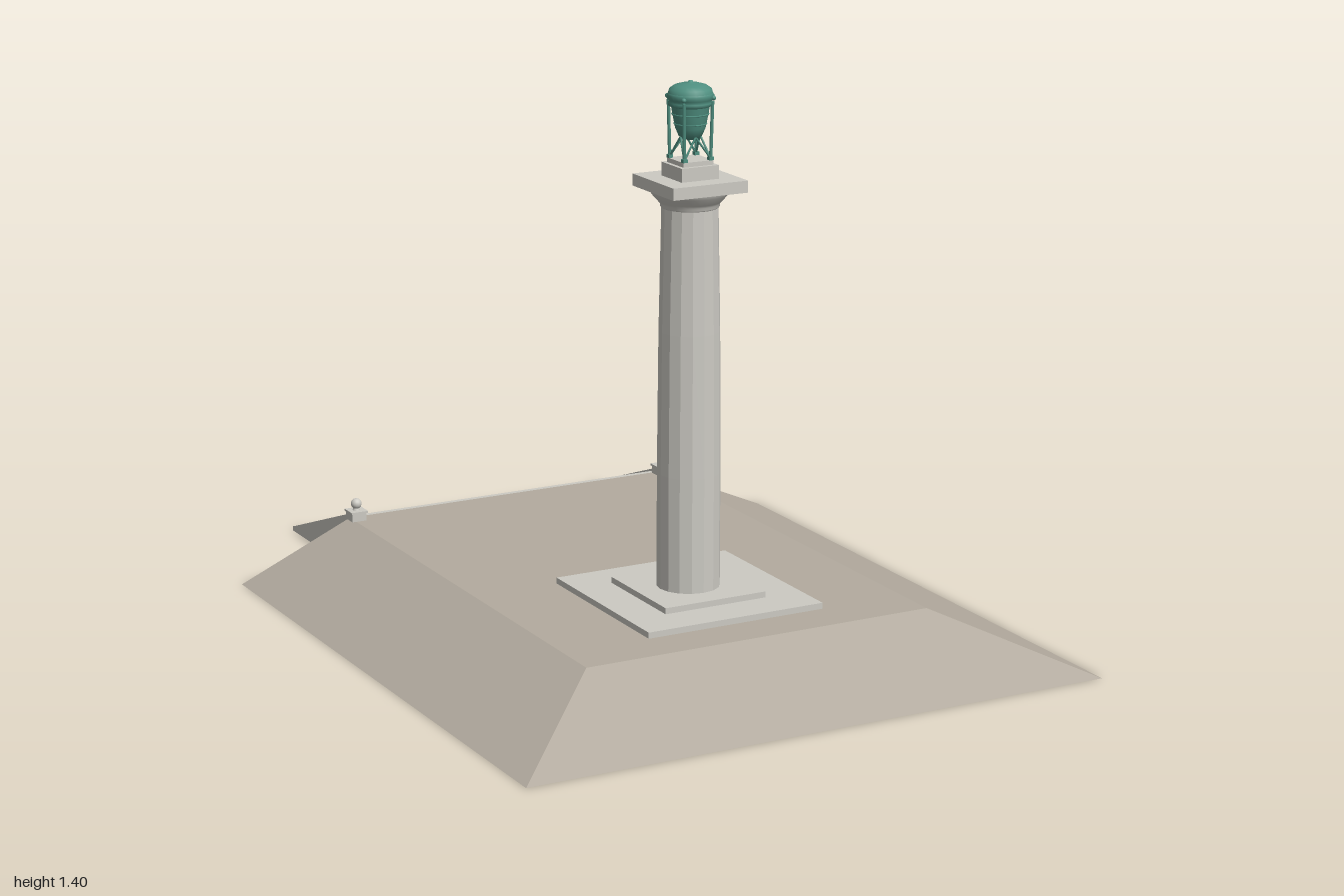
import * as THREE from 'three';

const material = (color, flatShading = false) => {
  const m = new THREE.MeshStandardMaterial({ color, flatShading, side: THREE.DoubleSide });
  return m;
};
const earth = material(0xb3ab9f, true);
const stone = material(0xcccac3);
const facetedStone = material(0xcccac3, true);
const bronze = material(0x4f8f80);

const COLUMN_Z = 0.35, TOP = 0.135, BACK = -0.63;

function add(parent, name, geometry, mat, x = 0, y = 0, z = 0) {
  const mesh = new THREE.Mesh(geometry, mat);
  mesh.name = name;
  mesh.position.set(x, y, z);
  parent.add(mesh);
  return mesh;
}

// Square slab given by its half width and its bottom and top heights
function slab(parent, name, half, y0, y1, mat = stone) {
  return add(parent, name, new THREE.BoxGeometry(half * 2, y1 - y0, half * 2), mat, 0, (y0 + y1) / 2, 0);
}

// Straight round bar between two points
function bar(parent, name, a, b, radius) {
  const mesh = add(parent, name, new THREE.CylinderGeometry(radius, radius, a.distanceTo(b), 6), bronze);
  mesh.position.copy(a).lerp(b, 0.5);
  mesh.quaternion.setFromUnitVectors(new THREE.Vector3(0, 1, 0), b.clone().sub(a).normalize());
}

function lathe(parent, name, points, sides, mat, y = 0) {
  return add(parent, name, new THREE.LatheGeometry(points.map(p => new THREE.Vector2(...p)), sides), mat, 0, y, 0);
}

// Open shell: flat top, sloping left, right and front banks
function moundGeometry() {
  const g = new THREE.BufferGeometry();
  g.setAttribute('position', new THREE.Float32BufferAttribute([
    -0.46, TOP, BACK, 0.46, TOP, BACK, 0.46, TOP, 0.7, -0.46, TOP, 0.7,
    -0.765, 0, BACK, 0.765, 0, BACK, 0.765, 0, 1, -0.765, 0, 1
  ], 3));
  g.setIndex([0, 2, 1, 0, 3, 2, 3, 7, 6, 3, 6, 2, 2, 6, 5, 2, 5, 1, 0, 4, 7, 0, 7, 3]);
  const flat = g.toNonIndexed();
  flat.computeVertexNormals();
  return flat;
}

// Folded sheet of treads and risers
function stairGeometry(steps, half, z0, z1) {
  const profile = [[TOP, z0]];
  for (let i = 0; i < steps; i++) {
    const z = z0 + (z1 - z0) * (i + 1) / steps;
    profile.push([TOP * (1 - i / steps), z], [TOP * (1 - (i + 1) / steps), z]);
  }
  const pos = [];
  for (let i = 0; i < profile.length - 1; i++) {
    const [ya, za] = profile[i], [yb, zb] = profile[i + 1];
    pos.push(-half, ya, za, half, ya, za, half, yb, zb, -half, ya, za, half, yb, zb, -half, yb, zb);
  }
  const g = new THREE.BufferGeometry();
  g.setAttribute('position', new THREE.Float32BufferAttribute(pos, 3));
  g.computeVertexNormals();
  return g;
}

function createStairs() {
  const stairs = new THREE.Group();
  stairs.name = 'stairs';
  add(stairs, 'steps', stairGeometry(24, 0.437, BACK, -0.985), facetedStone);

  // Side walls: profile drawn in (-z, y) and extruded across x
  const wall = new THREE.Shape([[0.63, 0], [1, 0], [1, 0.012], [0.985, 0.017], [0.63, 0.146]]
    .map(p => new THREE.Vector2(...p)));
  for (const side of [-1, 1]) {
    const g = new THREE.ExtrudeGeometry(wall, { depth: 0.028, bevelEnabled: false });
    g.translate(0, 0, -0.014);
    g.rotateY(Math.PI / 2);
    add(stairs, 'sideWall', g, facetedStone, side * 0.451);

    // Corner post with ball
    const post = new THREE.Group();
    post.name = 'ballPost';
    post.position.set(side * 0.451, 0, -0.608);
    slab(post, 'postBlock', 0.02, TOP, 0.156);
    slab(post, 'postCap', 0.023, 0.156, 0.161);
    add(post, 'postNeck', new THREE.CylinderGeometry(0.007, 0.01, 0.008, 12), stone, 0, 0.164, 0);
    add(post, 'ball', new THREE.SphereGeometry(0.014, 16, 12), stone, 0, 0.178, 0);
    stairs.add(post);
  }
  return stairs;
}

function createColumn() {
  const column = new THREE.Group();
  column.name = 'column';
  column.position.z = COLUMN_Z;
  slab(column, 'lowerPlinth', 0.237, TOP, 0.15);
  slab(column, 'upperPlinth', 0.137, 0.15, 0.165);
  // Shaft with slight swelling
  lathe(column, 'shaft', [[0.077, 0.165], [0.077, 0.45], [0.074, 0.8], [0.068, 1.105]], 16, facetedStone);
  lathe(column, 'capital', [[0.068, 1.1], [0.071, 1.103], [0.071, 1.109], [0.076, 1.115],
    [0.092, 1.133], [0.095, 1.143]], 32, stone);
  slab(column, 'abacus', 0.1, 1.142, 1.171);
  slab(column, 'lanternBase', 0.05, 1.171, 1.204);
  slab(column, 'lanternBaseCap', 0.04, 1.204, 1.215);
  return column;
}

function createUrn() {
  const urn = new THREE.Group();
  urn.name = 'urn';
  urn.position.set(0, 1.215, COLUMN_Z);
  lathe(urn, 'bowl', [[0, 0.046], [0.016, 0.048], [0.028, 0.056], [0.036, 0.075],
    [0.042, 0.105], [0.046, 0.128]], 24, bronze);
  lathe(urn, 'rim', [[0.046, 0.126], [0.052, 0.128], [0.053, 0.136], [0.05, 0.14], [0.055, 0.144],
    [0.056, 0.154], [0.053, 0.158]], 24, bronze);
  lathe(urn, 'dome', [[0.053, 0.158], [0.05, 0.168], [0.038, 0.176], [0.02, 0.181], [0.006, 0.182],
    [0.005, 0.187], [0, 0.188]], 24, bronze);
  for (const y of [0.085, 0.108]) {
    const ring = add(urn, 'bowlBand', new THREE.TorusGeometry(y === 0.085 ? 0.038 : 0.043, 0.002, 6, 24), bronze, 0, y, 0);
    ring.rotation.x = Math.PI / 2;
  }
  // Four corner legs with braces running inward to the bowl
  for (let i = 0; i < 4; i++) {
    const a = Math.PI / 4 + i * Math.PI / 2;
    const at = (r, y, angle = a) => new THREE.Vector3(r * Math.cos(angle), y, r * Math.sin(angle));
    bar(urn, 'leg', at(0.05, 0), at(0.054, 0.14), 0.004);
    add(urn, 'foot', new THREE.BoxGeometry(0.012, 0.008, 0.012), bronze).position.copy(at(0.05, 0.004));
    add(urn, 'legKnob', new THREE.SphereGeometry(0.006, 10, 8), bronze).position.copy(at(0.056, 0.148));
    for (const s of [-1, 1]) bar(urn, 'brace', at(0.05, 0.004), at(0.026, 0.055, a + s * Math.PI / 4), 0.0025);
  }
  return urn;
}

export function createModel() {
  const model = new THREE.Group();
  model.name = 'columnMonument';
  add(model, 'mound', moundGeometry(), earth);
  model.add(createStairs(), createColumn(), createUrn());
  return model;
}
